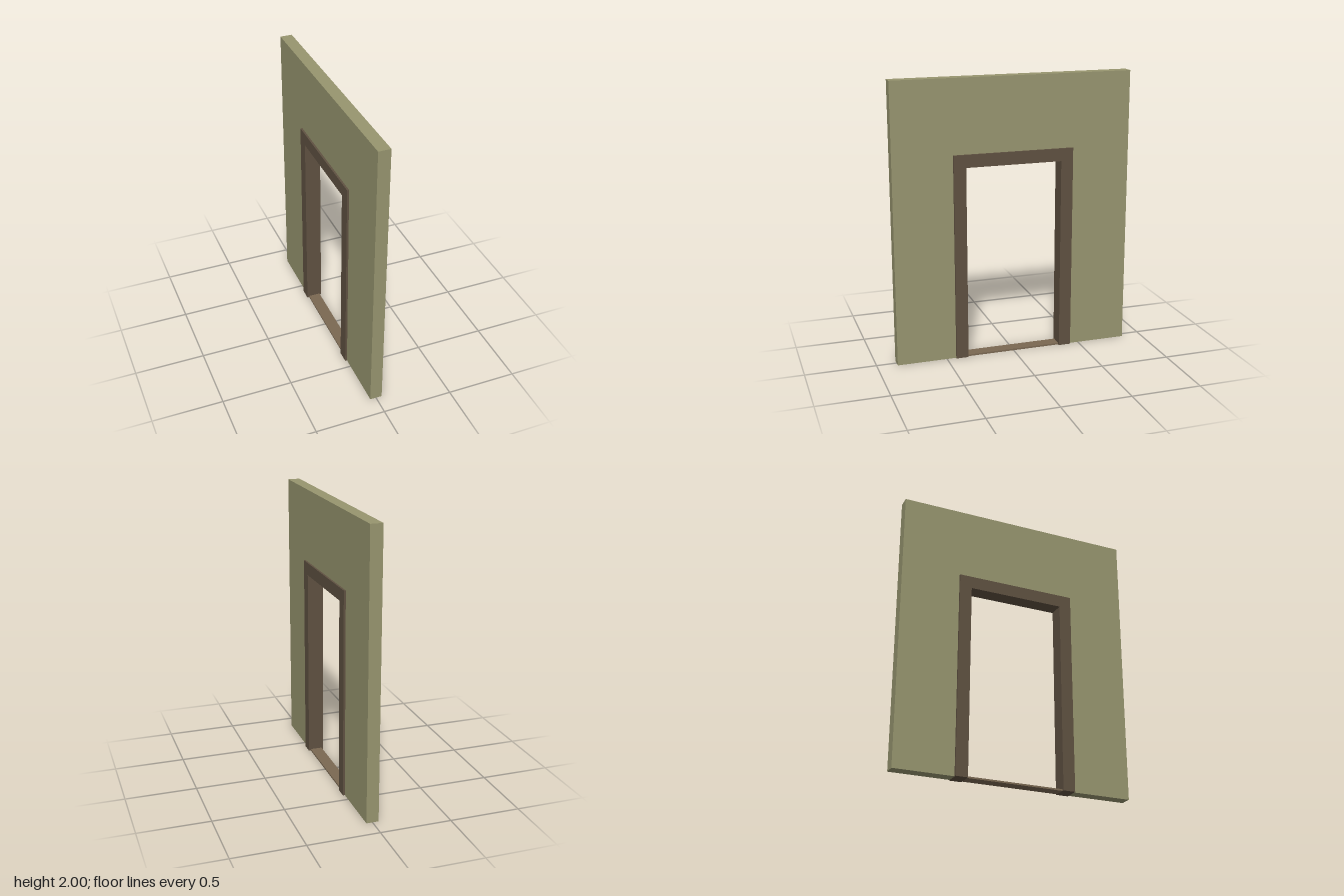
import * as THREE from 'three';

const WALL = { half: 0.857, height: 2, depth: 0.086 };
const FRAME = { half: 0.433, height: 1.477, depth: 0.114 };
const OPENING = { half: 0.345, height: 1.387 };

// Upright slab with a doorway cut up from its bottom edge, running along z
function archway(outer, inner) {
  const shape = new THREE.Shape([
    [-outer.half, 0], [-inner.half, 0], [-inner.half, inner.height],
    [inner.half, inner.height], [inner.half, 0], [outer.half, 0],
    [outer.half, outer.height], [-outer.half, outer.height],
  ].map(([x, y]) => new THREE.Vector2(x, y)));
  return new THREE.ExtrudeGeometry(shape, { depth: outer.depth, bevelEnabled: false })
    .translate(0, 0, -outer.depth / 2)
    .rotateY(Math.PI / 2);
}

function part(name, geometry, color) {
  const mesh = new THREE.Mesh(geometry, new THREE.MeshStandardMaterial({ color }));
  mesh.name = name;
  return mesh;
}

export function createModel() {
  const group = new THREE.Group();
  group.name = 'wallWithDoorway';

  // Wall panel, fitted around the frame
  group.add(part('wall', archway(WALL, FRAME), 0x97956f));

  // Door frame, standing proud of both wall faces
  group.add(part('doorFrame', archway(FRAME, OPENING), 0x5f5141));

  // Thin threshold between the jambs
  const sill = new THREE.BoxGeometry(WALL.depth, 0.012, OPENING.half * 2).translate(0, 0.006, 0);
  group.add(part('threshold', sill, 0x7a6852));

  return group;
}
